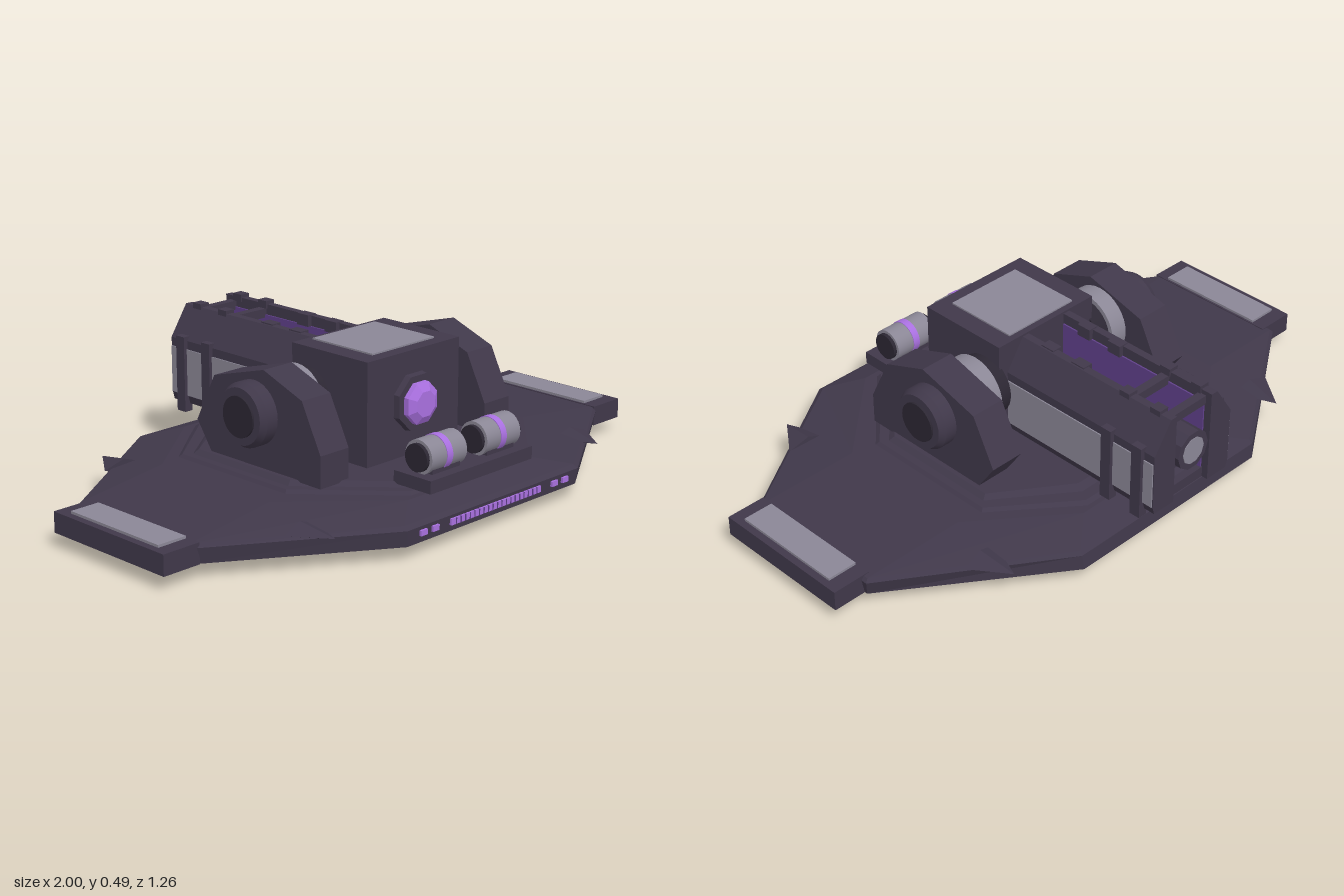
import * as THREE from 'three';

const mat = (name, color) => {
  const m = new THREE.MeshStandardMaterial({ color });
  m.name = name;
  return m;
};

export function createModel() {
  const root = new THREE.Group();
  root.name = 'turretPlatform';
  const hull = mat('dark hull', 0x40384a);
  const black = mat('near black trim', 0x2c2733);
  const grey = mat('light grey panel', 0x8b8796);
  const glow = mat('bright violet', 0xa970e0);
  const violet = mat('deep violet', 0x60408a);

  const add = (name, geo, material, x = 0, y = 0, z = 0) => {
    const m = new THREE.Mesh(geo, material);
    m.name = name;
    m.position.set(x, y, z);
    root.add(m);
    return m;
  };
  // box given by its min and max on each axis
  const box = (name, material, x0, x1, y0, y1, z0, z1) =>
    add(name, new THREE.BoxGeometry(Math.abs(x1 - x0), y1 - y0, z1 - z0), material,
      (x0 + x1) / 2, (y0 + y1) / 2, (z0 + z1) / 2);
  // cylinder along x; r0 is the radius at the +x end
  const cylX = (name, material, r0, r1, x0, x1, y, z, n = 32) => {
    const g = new THREE.CylinderGeometry(r0, r1, Math.abs(x1 - x0), n).rotateZ(-Math.PI / 2);
    return add(name, g, material, (x0 + x1) / 2, y, z);
  };
  // cylinder along z with flat faces; rf is the radius at the +z end
  const cylZ = (name, material, rf, rb, z0, z1, y, n = 8) => {
    const g = new THREE.CylinderGeometry(rf, rb, z1 - z0, n, 1, false, Math.PI / n)
      .rotateX(Math.PI / 2).toNonIndexed();
    g.computeVertexNormals();
    return add(name, g, material, 0, y, (z0 + z1) / 2);
  };
  // stacked octagons: [y, narrow x, wide x, front z, side front z, side back z, back z]
  const loft = (name, material, rings) => {
    const pts = rings.map(([y, n, w, f, sf, sb, b]) =>
      [[n, f], [w, sf], [w, sb], [n, b], [-n, b], [-w, sb], [-w, sf], [-n, f]].map(([x, z]) => [x, y, z]));
    const pos = [];
    const tri = (...c) => c.forEach((p) => pos.push(...p));
    for (let r = 0; r < pts.length - 1; r++) {
      const a = pts[r], b = pts[r + 1];
      for (let i = 0; i < 8; i++) {
        const j = (i + 1) % 8;
        tri(a[i], a[j], b[j]);
        tri(a[i], b[j], b[i]);
      }
    }
    const lo = pts[0], hi = pts[pts.length - 1];
    for (let i = 1; i < 7; i++) {
      tri(lo[0], lo[i + 1], lo[i]);
      tri(hi[0], hi[i], hi[i + 1]);
    }
    const g = new THREE.BufferGeometry();
    g.setAttribute('position', new THREE.Float32BufferAttribute(pos, 3));
    g.computeVertexNormals();
    return add(name, g, material);
  };
  const extrude = (points, depth) => new THREE.ExtrudeGeometry(
    new THREE.Shape(points.map(([u, v]) => new THREE.Vector2(u, v))), { depth, bevelEnabled: false });

  // Platform
  loft('underbody', hull, [
    [0, 0.25, 0.65, 0.44, 0.205, -0.13, -0.38],
    [0.046, 0.26, 0.675, 0.46, 0.215, -0.14, -0.4]]);
  loft('basePlate', hull, [
    [0.045, 0.375, 0.89, 0.615, 0.28, -0.19, -0.555],
    [0.095, 0.38, 0.9, 0.62, 0.285, -0.2, -0.55],
    [0.106, 0.375, 0.89, 0.605, 0.28, -0.195, -0.54],
    [0.134, 0.27, 0.56, 0.52, 0.25, -0.22, -0.45]]);
  loft('lowerStep', hull, [
    [0.13, 0.24, 0.485, 0.505, 0.235, -0.24, -0.44],
    [0.143, 0.23, 0.47, 0.49, 0.225, -0.23, -0.42]]);
  loft('upperStep', hull, [
    [0.14, 0.21, 0.45, 0.47, 0.21, -0.21, -0.39],
    [0.156, 0.2, 0.43, 0.45, 0.2, -0.2, -0.36]]);

  // Lights on the front edge
  box('frontLightBar', glow, -0.2, 0.2, 0.065, 0.085, 0.616, 0.625);
  for (let i = -9; i <= 9; i++) {
    box('lightBarDivider', violet, i * 0.02 - 0.002, i * 0.02 + 0.002, 0.065, 0.085, 0.617, 0.6265);
  }

  for (const s of [-1, 1]) {
    for (const x of [0.265, 0.315]) {
      box('frontLightDot', glow, s * (x - 0.013), s * (x + 0.013), 0.067, 0.084, 0.616, 0.626);
    }

    // Side pads and edge spikes
    box('sidePad', hull, s * 0.87, s, 0.045, 0.11, -0.18, 0.298);
    box('sidePadPanel', grey, s * 0.877, s * 0.977, 0.109, 0.118, -0.13, 0.25);
    for (const [z, dir] of [[0.475, 1], [-0.415, -1]]) {
      const g = new THREE.ConeGeometry(0.07, 0.125, 4).rotateX(dir * Math.PI / 2).scale(1, 0.35, 1).toNonIndexed();
      g.computeVertexNormals();
      add('edgeSpike', g, hull, s * 0.59, 0.105, z).rotation.y = s * dir * -0.12;
    }

    // Bracket and pivot
    const side = [[0.31, 0.15], [0.31, 0.25], [0.235, 0.4], [0.075, 0.46],
      [-0.14, 0.4], [-0.22, 0.245], [-0.155, 0.15]];
    add('bracket', extrude(side, 0.115).rotateY(-Math.PI / 2), hull, s > 0 ? 0.415 : -0.3);
    const py = 0.322, pz = 0.034;
    const ends = (outer, inner) => (s > 0 ? [outer, inner] : [inner, outer]);
    cylX('pivotCap', hull, 0.1, 0.1, s * 0.41, s * 0.455, py, pz);
    cylX('pivotCapRim', hull, ...ends(0.088, 0.1), s * 0.455, s * 0.475, py, pz);
    cylX('pivotHub', black, 0.064, 0.064, s * 0.47, s * 0.482, py, pz);
    cylX('pivotDisc', grey, 0.115, 0.115, s * 0.24, s * 0.305, py, pz);
    cylX('pivotAxle', black, 0.1, 0.1, s * 0.19, s * 0.242, py, pz);

    // Canisters
    const cy = 0.238, cz = 0.49;
    cylX('canister', grey, 0.053, 0.053, s * 0.045, s * 0.195, cy, cz);
    cylX('canisterBand', glow, 0.055, 0.055, s * 0.107, s * 0.131, cy, cz);
    cylX('canisterOuterCap', black, 0.043, 0.043, s * 0.19, s * 0.207, cy, cz);
    cylX('canisterInnerCap', black, 0.043, 0.043, s * 0.033, s * 0.05, cy, cz);
    box('canisterCradle', hull, s * 0.06, s * 0.18, 0.185, 0.21, 0.45, 0.53);

    // Barrel rail with a chamfered outer edge
    const rail = [[0.075, 0.165], [0.158, 0.165], [0.165, 0.19], [0.165, 0.375], [0.1, 0.474], [0.075, 0.474]];
    add('barrelRail', extrude(rail.map(([x, y]) => [s * x, y]), 0.605), hull, 0, 0, -0.625);
    box('railSidePanel', grey, s * 0.163, s * 0.169, 0.193, 0.347, -0.622, -0.03);
    box('railInnerWall', violet, s * 0.07, s * 0.076, 0.2, 0.44, -0.6, -0.03);
    for (const z of [-0.447, -0.567]) {
      box('railClamp', hull, s * 0.15, s * 0.18, 0.14, 0.39, z - 0.019, z + 0.019);
      box('railTopTab', hull, s * 0.07, s * 0.105, 0.46, 0.485, z - 0.019, z + 0.019);
    }
    for (const z of [-0.125, -0.25]) {
      box('railInnerTab', hull, s * 0.06, s * 0.095, 0.44, 0.478, z - 0.025, z + 0.025);
    }
  }

  // Canister tray
  box('canisterTray', hull, -0.225, 0.225, 0.15, 0.19, 0.42, 0.565);

  // Turret housing and lens
  box('housing', hull, -0.2, 0.2, 0.15, 0.481, -0.027, 0.288);
  box('housingTopPanel', grey, -0.135, 0.135, 0.478, 0.486, -0.005, 0.245);
  cylZ('lensMount', hull, 0.09, 0.095, 0.28, 0.308, 0.322);
  cylZ('lensBarrel', glow, 0.068, 0.068, 0.3, 0.325, 0.322);
  cylZ('lensFace', glow, 0.042, 0.068, 0.325, 0.34, 0.322);

  // Barrel channel: core, markers, crossbars and nozzle
  box('barrelCore', hull, -0.072, 0.072, 0.2, 0.3, -0.55, -0.02);
  box('coreCover', hull, -0.055, 0.055, 0.29, 0.315, -0.43, -0.06);
  box('coreMarkerLight', grey, -0.027, 0.027, 0.314, 0.32, -0.375, -0.33);
  box('coreMarkerGlow', glow, -0.027, 0.027, 0.314, 0.32, -0.12, -0.09);
  for (const z of [-0.447, -0.59]) {
    box('channelTopBar', hull, -0.075, 0.075, 0.43, 0.46, z - 0.014, z + 0.014);
    box('channelBottomBar', hull, -0.08, 0.08, 0.165, 0.2, z - 0.014, z + 0.014);
  }
  cylZ('nozzle', hull, 0.065, 0.065, -0.628, -0.54, 0.315, 10);
  cylZ('nozzleFace', grey, 0.045, 0.045, -0.63, -0.62, 0.315, 10);

  return root;
}
